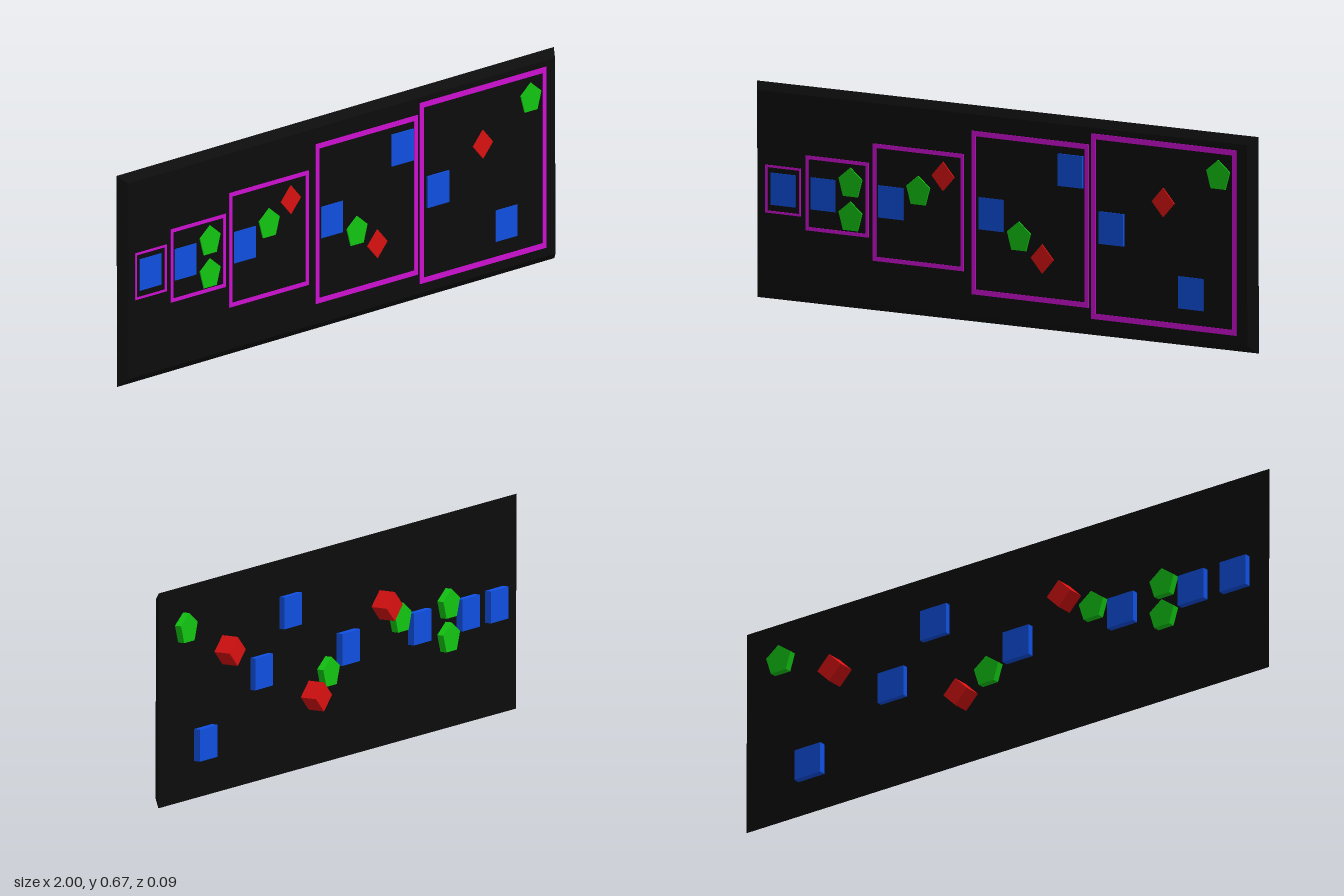
import * as THREE from 'three';

const mat = (color) => new THREE.MeshStandardMaterial({ color, flatShading: true });

// Regular polygon outline with its first corner at the given angle
function polygon(sides, radius, start) {
  const pts = [];
  for (let i = 0; i < sides; i++) {
    const a = start + (i * 2 * Math.PI) / sides;
    pts.push(new THREE.Vector2(radius * Math.cos(a), radius * Math.sin(a)));
  }
  return new THREE.Shape(pts);
}

function rectPoints(w, h) {
  return [[-w, -h], [w, -h], [w, h], [-w, h]].map(([x, y]) => new THREE.Vector2(x / 2, y / 2));
}

// Prism along z whose front face lies at zFront
function prism(name, shape, material, x, y, zFront, depth) {
  const geo = new THREE.ExtrudeGeometry(shape, { depth, bevelEnabled: false });
  const mesh = new THREE.Mesh(geo, material);
  mesh.name = name;
  mesh.position.set(x, y, zFront - depth);
  return mesh;
}

export function createModel() {
  const model = new THREE.Group();
  model.name = 'shapePanel';

  // Black board, chamfered all round towards the front
  const W = 1.997, H = 0.664, T = 0.026, inset = 0.024;
  const geo = new THREE.BoxGeometry(W, H, T);
  const p = geo.attributes.position;
  for (let i = 0; i < p.count; i++) {
    if (p.getZ(i) > 0) {
      p.setX(i, p.getX(i) - Math.sign(p.getX(i)) * inset);
      p.setY(i, p.getY(i) - Math.sign(p.getY(i)) * inset);
    }
  }
  geo.computeVertexNormals();
  const board = new THREE.Mesh(geo, mat(0x0c0c0c));
  board.name = 'board';
  board.position.set(0, 0.339, 0.0263);
  board.rotation.z = 0.004;
  model.add(board);

  // Magenta frames, growing from left to right: x0, x1, y0, y1, bar width
  const magenta = mat(0xcc0fd0);
  [
    [-0.944, -0.802, 0.270, 0.417, 0.007],
    [-0.783, -0.532, 0.230, 0.460, 0.011],
    [-0.515, -0.153, 0.161, 0.521, 0.013],
    [-0.121, 0.345, 0.094, 0.596, 0.016],
    [0.355, 0.933, 0.062, 0.631, 0.017],
  ].forEach(([x0, x1, y0, y1, bar]) => {
    const w = x1 - x0, h = y1 - y0;
    const shape = new THREE.Shape(rectPoints(w, h));
    shape.holes.push(new THREE.Path(rectPoints(w - 2 * bar, h - 2 * bar).reverse()));
    model.add(prism('frame', shape, magenta, (x0 + x1) / 2, (y0 + y1) / 2, 0.0415, 0.008));
  });

  // Blue square pegs
  const blue = mat(0x0f4fe0);
  const square = new THREE.Shape(rectPoints(0.099, 0.099));
  [
    [-0.874, 0.345, 0.041], [-0.714, 0.345, 0.041], [-0.444, 0.345, 0.041], [-0.045, 0.345, 0.041],
    [0.436, 0.345, 0.045], [0.273, 0.508, 0.045], [0.751, 0.175, 0.041],
  ].forEach(([x, y, z]) => model.add(prism('squarePeg', square, blue, x, y, z, 0.049)));

  // Green pentagonal pegs
  const green = mat(0x12c512);
  const pentagon = polygon(5, 0.049, Math.PI / 2);
  [[-0.604, 0.389], [-0.604, 0.285], [-0.334, 0.389], [0.067, 0.285], [0.861, 0.546]]
    .forEach(([x, y]) => model.add(prism('pentagonPeg', pentagon, green, x, y, 0.043, 0.052)));

  // Red diamond pegs, standing further out at the back
  const red = mat(0xd81010);
  const diamond = polygon(4, 0.045, Math.PI / 2);
  [[-0.235, 0.445], [0.160, 0.228], [0.642, 0.445]]
    .forEach(([x, y]) => model.add(prism('diamondPeg', diamond, red, x, y, 0.043, 0.085)));

  return model;
}
